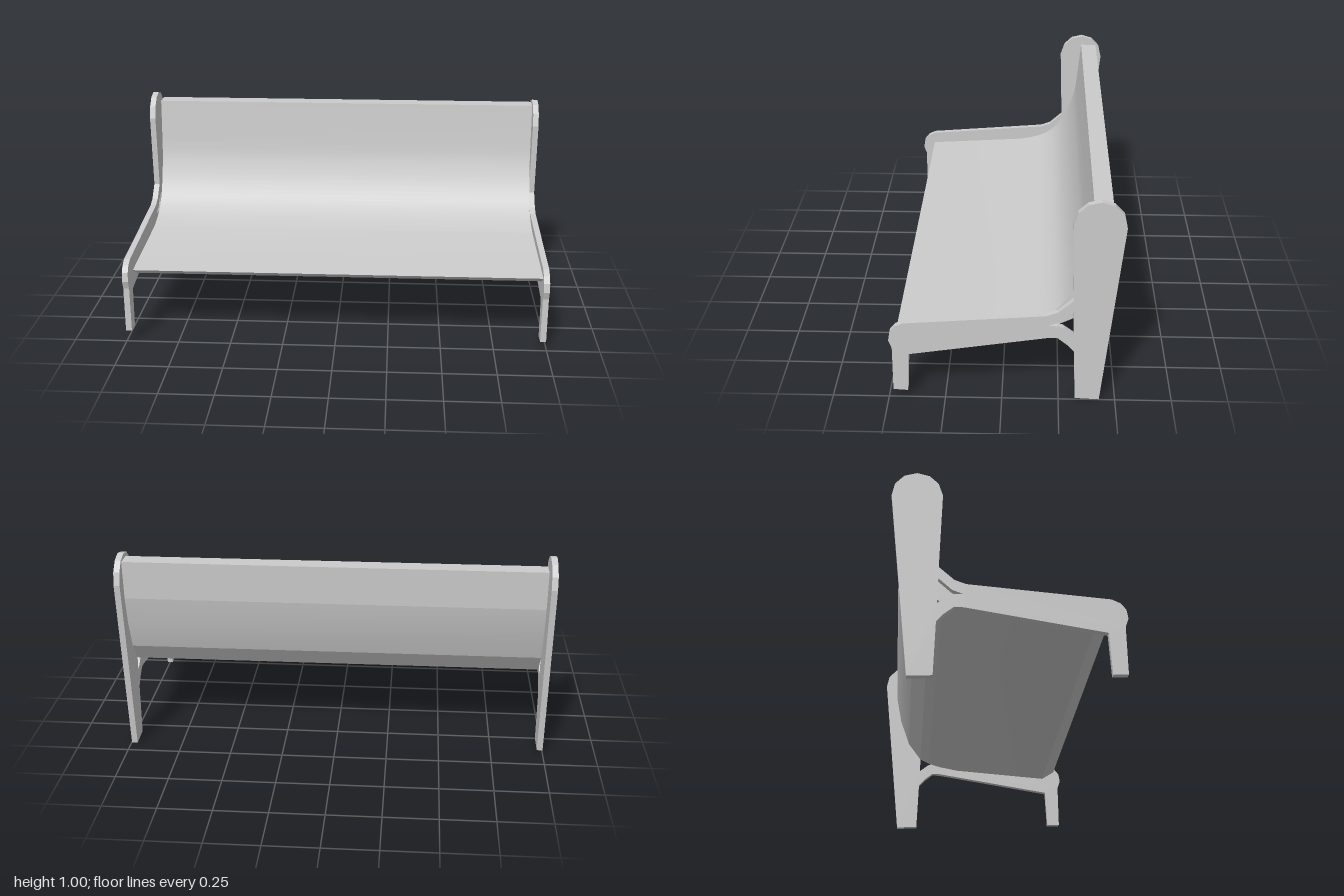
import * as THREE from 'three';
import { toCreasedNormals } from 'three/addons/utils/BufferGeometryUtils.js';

const material = new THREE.MeshStandardMaterial({ color: 0xcccccc });
const toPoints = (list) => list.map(([z, y]) => new THREE.Vector2(z, y));

// Extrude a side profile (z, y) along x, centred on x = 0
function extrudeProfile(shape, width, crease) {
  const geometry = new THREE.ExtrudeGeometry(shape, { depth: width, bevelEnabled: false });
  geometry.translate(0, 0, -width / 2);
  geometry.rotateY(-Math.PI / 2);
  return toCreasedNormals(geometry, crease);
}

export function createModel() {
  const bench = new THREE.Group();
  bench.name = 'bench';

  // End panel: front leg, arm and tall rounded back post in one piece
  const panelShape = new THREE.Shape(toPoints([
    [0.415, 0.033], [0.48, 0.037], [0.478, 0.255], [0.492, 0.295], [0.485, 0.338],
    [0.462, 0.367], [0.425, 0.384], [-0.19, 0.432], [-0.24, 0.45], [-0.307, 0.51],
    [-0.295, 0.87], [-0.315, 0.93], [-0.355, 0.968], [-0.41, 0.981], [-0.465, 0.965],
    [-0.505, 0.922], [-0.518, 0.862], [-0.43, 0], [-0.323, 0.005], [-0.314, 0.252],
    [-0.285, 0.285], [-0.24, 0.322], [-0.2, 0.321], [0.405, 0.225],
  ]));
  // Small opening where the arm forks into the post
  panelShape.holes.push(new THREE.Path(toPoints([
    [-0.2, 0.383], [-0.25, 0.402], [-0.308, 0.455], [-0.311, 0.337], [-0.265, 0.373], [-0.24, 0.382],
  ])));
  const panelGeometry = extrudeProfile(panelShape, 0.028, 0.1);

  // The right panel stands a little further forward and higher
  for (const [name, x, y, z] of [
    ['leftEndPanel', 0.984, 0, 0],
    ['rightEndPanel', -0.985, 0.021, 0.027],
  ]) {
    const panel = new THREE.Mesh(panelGeometry, material);
    panel.name = name;
    panel.position.set(x, y, z);
    bench.add(panel);
  }

  // Seat and backrest: one board, smoothly curved in front, faceted behind
  const top = new THREE.SplineCurve(toPoints([
    [-0.05, 0.379], [-0.12, 0.394], [-0.19, 0.42], [-0.255, 0.472],
    [-0.307, 0.557], [-0.345, 0.665], [-0.36, 0.75],
  ])).getPoints(24);
  const under = toPoints([
    [-0.38, 0.957], [-0.46, 0.957], [-0.453, 0.775], [-0.427, 0.64], [-0.378, 0.5],
    [-0.31, 0.407], [-0.262, 0.383], [-0.2, 0.364], [-0.1, 0.345], [0.39, 0.309],
  ]);
  const boardShape = new THREE.Shape([new THREE.Vector2(0.455, 0.35), ...top, ...under]);
  const board = new THREE.Mesh(extrudeProfile(boardShape, 1.93, 0.15), material);
  board.name = 'seatAndBackrest';
  board.position.x = 0.005;
  bench.add(board);

  return bench;
}
